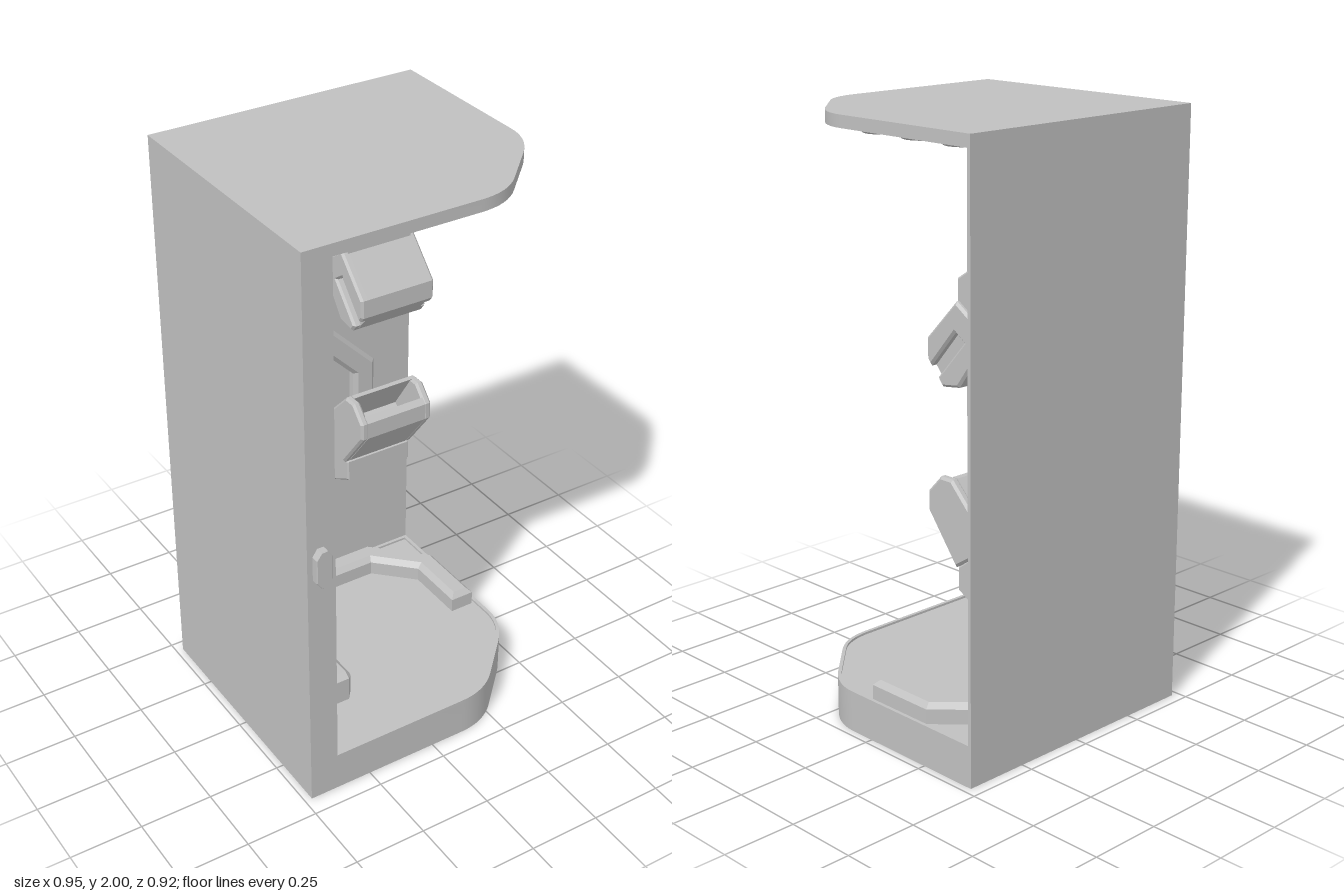
import * as THREE from 'three';
import { toCreasedNormals } from 'three/addons/utils/BufferGeometryUtils.js';

const V2 = (x, y) => new THREE.Vector2(x, y);
const shapeOf = (pts) => new THREE.Shape(pts.map((p) => V2(p[0], p[1])));

// surface between two matching 3D polylines
function loft(a, b) {
  const pos = [];
  for (let i = 0; i < a.length - 1; i++) {
    pos.push(...a[i], ...a[i + 1], ...b[i + 1], ...a[i], ...b[i + 1], ...b[i]);
  }
  const g = new THREE.BufferGeometry();
  g.setAttribute('position', new THREE.Float32BufferAttribute(pos, 3));
  g.computeVertexNormals();
  return g;
}
// upright wall over a plan line of [x, z] points
const wall = (plan, y0, y1) => loft(plan.map(([x, z]) => [x, y0, z]), plan.map(([x, z]) => [x, y1, z]));

function extrude(shape, depth, bevel) {
  const g = new THREE.ExtrudeGeometry(shape, {
    depth: depth - 2 * bevel, bevelEnabled: bevel > 0, bevelThickness: bevel,
    bevelSize: bevel, bevelOffset: -bevel, bevelSegments: 1, curveSegments: 8,
  });
  return g.translate(0, 0, bevel);
}
// side profile of [z, y] points, extruded from x0 to x1
const extrudeX = (prof, x0, x1, bevel = 0) =>
  extrude(shapeOf(prof.map(([z, y]) => [-z, y])), x1 - x0, bevel).rotateY(Math.PI / 2).translate(x0, 0, 0);
// plan outline of [x, z] points, extruded from y0 to y1
const extrudeY = (plan, y0, y1, bevel = 0, hole = null) => {
  const s = shapeOf(plan.map(([x, z]) => [x, -z]));
  if (hole) s.holes.push(shapeOf(hole.map(([x, z]) => [x, -z])));
  return extrude(s, y1 - y0, bevel).rotateX(-Math.PI / 2).translate(0, y0, 0);
};

// outline of a band of half width h around a bent centre line
function band(pts, h) {
  const p = pts.map((q) => V2(...q)), left = [], right = [];
  p.forEach((c, i) => {
    const d0 = i > 0 ? c.clone().sub(p[i - 1]).normalize() : null;
    const d1 = i < p.length - 1 ? p[i + 1].clone().sub(c).normalize() : null;
    const a = d0 || d1, b = d1 || d0;
    const t = a.clone().add(b).normalize();
    const k = h / t.dot(a);
    left.push([c.x - t.y * k, c.y + t.x * k]);
    right.unshift([c.x + t.y * k, c.y - t.x * k]);
  });
  return [...left, ...right];
}

// front edge with the rounded, cut corner, from right rear to left front
function frontEdge(d, left) {
  const R = 0.475 - d, F = 0.435 - d;
  const arc = (a, b, c) => new THREE.QuadraticBezierCurve(V2(...a), V2(...b), V2(...c))
    .getPoints(8).map((p) => [p.x, p.y]);
  return [
    ...arc([R, 0.09], [R, 0.175], [0.4 - d * 0.7, 0.25 - d * 0.7]),
    ...arc([0.28 - d * 0.7, 0.37 - d * 0.7], [0.215, F], [0.12, F]),
    [left, F],
  ];
}
// curved inner corner, from left wall to back wall
function innerCorner(d = 0) {
  const out = [], r = 0.3 - d;
  for (let i = 0; i <= 16; i++) {
    const a = (i / 16) * Math.PI / 2;
    out.push([-0.075 - r * Math.cos(a), -0.148 - r * Math.sin(a)]);
  }
  return out;
}
const floorPlan = (d) => [...frontEdge(d, -0.375 + d), ...innerCorner(d), [0.475 - d, -0.448 + d]];

export function createModel() {
  const root = new THREE.Group();
  const grey = new THREE.MeshStandardMaterial({ color: 0xc0c0c0, side: THREE.DoubleSide });
  grey.name = 'lightGrey';
  const add = (name, geo, parent = root) => {
    const m = new THREE.Mesh(toCreasedNormals(geo, 0.4), grey);
    m.name = name;
    parent.add(m);
    return m;
  };
  const group = (name) => {
    const g = new THREE.Group();
    g.name = name;
    root.add(g);
    return g;
  };

  // cabin shell, open underneath
  const shell = group('shell');
  const L = -0.475, R = 0.475, F = 0.435, B = -0.46;
  add('outerWalls', wall([[L, F], [L, B], [R, B], [R, -0.448]], 0, 1.97), shell);
  add('frontJamb', wall([[-0.375, F], [L, F]], 0, 1.97), shell);
  add('traySide', wall([[R, -0.448], ...frontEdge(0, -0.375)], 0, 0.14), shell);
  add('innerBackWall', wall([...innerCorner(), [R, -0.448]], 0.13, 1.96), shell);
  add('roof', extrudeY([[L, B], [R, B], ...frontEdge(0, L)], 1.96, 2), shell);
  add('floor', extrudeY(floorPlan(0), 0.128, 0.132), shell);
  add('floorRim', extrudeY(floorPlan(0), 0.132, 0.14, 0, floorPlan(0.012)), shell);

  // left inner wall with a recessed niche
  const z0 = -0.375, z1 = 0.02, y0 = 1.11, y1 = 1.46, r = 0.035;
  const nicheShape = new THREE.Shape();
  nicheShape.absarc(z1 - r, y0 + r, r, -Math.PI / 2, 0);
  nicheShape.absarc(z1 - r, y1 - r, r, 0, Math.PI / 2);
  nicheShape.absarc(z0 + r, y1 - r, r, Math.PI / 2, Math.PI);
  nicheShape.absarc(z0 + r, y0 + r, r, Math.PI, Math.PI * 1.5);
  nicheShape.closePath();
  const rim = nicheShape.getPoints(6);
  const side = shapeOf([[-F, 0.13], [0.148, 0.13], [0.148, 1.96], [-F, 1.96]]);
  side.holes.push(new THREE.Path(rim));
  add('innerLeftWall', new THREE.ShapeGeometry(side).rotateY(Math.PI / 2).translate(-0.375, 0, 0), shell);
  add('nicheSides', loft(rim.map((p) => [-0.445, p.y, -p.x]), rim.map((p) => [-0.375, p.y, -p.x])), shell);
  add('nicheBack', new THREE.ShapeGeometry(new THREE.Shape(rim)).rotateY(Math.PI / 2).translate(-0.445, 0, 0), shell);

  // raised panel below the niche
  add('wallPanel', extrudeX([[0.345, 0.865], [0.345, 1], [-0.06, 1], [-0.06, 0.865]], -0.39, -0.355, 0.008));

  // button on the front jamb
  const bx = 0.028, by = 0.068, c = 0.017;
  const button = [[-bx + c, -by], [bx - c, -by], [bx, -by + 0.025], [bx, by - 0.025],
    [bx - c, by], [-bx + c, by], [-bx, by - 0.025], [-bx, -by + 0.025]];
  add('button', extrude(shapeOf(button), 0.035, 0.003).translate(-0.428, 0.932, 0.425));

  // ceiling lights
  const lights = group('ceilingLights');
  const ring = [[0, 0.004], [0.032, 0.004], [0.036, -0.006], [0.044, -0.006], [0.048, -0.016], [0.06, -0.016], [0.077, 0.001]];
  const spots = [[0.356, 0.04], [0.356, -0.135], [0.356, -0.31], [0.12, 0.33], [-0.075, 0.335], [-0.26, 0.335]];
  spots.forEach(([x, z]) => {
    add('ceilingLight', new THREE.LatheGeometry(ring.map((p) => V2(...p)), 28).translate(x, 1.959, z), lights);
  });

  // duct along the ceiling and down the back wall
  const duct = group('duct');
  add('ceilingDuct', extrudeY(band([[-0.38, 0.193], [0.052, 0.193], [0.052, -0.45]], 0.042), 1.905, 1.975, 0.014), duct);
  const down = band([[0.052, 1.95], [0.052, 1.185], [0.27, 0.965], [0.27, 0.82]], 0.042);
  add('wallDuct', extrude(shapeOf(down), 0.05, 0.014).translate(0, 0, -0.46), duct);

  // arm rail beside the left wall and foot rail on the floor
  add('armRail', extrudeX([[0.41, 0.335], [0.41, 0.42], [0.39, 0.435], [0.12, 0.435], [0.1, 0.425], [-0.05, 0.275],
    [-0.065, 0.24], [-0.065, 0.13], [0.05, 0.13], [0.05, 0.235], [0.13, 0.32]], -0.39, -0.297, 0.018));
  add('footRail', extrudeY(band([[0.012, -0.37], [0.26, -0.37], [0.41, -0.22], [0.41, 0.015]], 0.043), 0.11, 0.2, 0.018));

  // upper head: wedge mount, core and slotted cheeks
  const upper = group('upperHead');
  add('upperMount', extrudeX([[-0.45, 1.645], [-0.32, 1.56], [-0.32, 1.48], [-0.45, 1.38]], 0.14, 0.395, 0.006), upper);
  add('headCore', extrudeX([[-0.33, 1.495], [-0.205, 1.365], [-0.205, 1.3], [-0.27, 1.225], [-0.34, 1.235],
    [-0.45, 1.385], [-0.45, 1.415]], 0.15, 0.385), upper);
  const cheek = [[-0.33, 1.495], [-0.205, 1.365], [-0.205, 1.3], [-0.222, 1.28], [-0.325, 1.4], [-0.362, 1.375],
    [-0.25, 1.25], [-0.27, 1.225], [-0.34, 1.235], [-0.45, 1.385], [-0.45, 1.415]];
  add('headCheekRight', extrudeX(cheek, 0.125, 0.165, 0.008), upper);
  add('headCheekLeft', extrudeX(cheek, 0.37, 0.41, 0.008), upper);

  // lower bin: wedge mount, hollow middle and closed cheeks
  const bin = group('lowerBin');
  add('binMount', extrudeX([[-0.45, 0.52], [-0.32, 0.59], [-0.32, 0.665], [-0.45, 0.76]], 0.14, 0.395, 0.006), bin);
  add('binMiddle', extrudeX([[-0.205, 0.825], [-0.205, 0.885], [-0.225, 0.902], [-0.32, 0.75], [-0.385, 0.8],
    [-0.29, 0.943], [-0.31, 0.943], [-0.45, 0.8], [-0.45, 0.75], [-0.325, 0.668]], 0.15, 0.385), bin);
  const binSide = [[-0.205, 0.825], [-0.205, 0.885], [-0.26, 0.943], [-0.31, 0.943], [-0.45, 0.8],
    [-0.45, 0.75], [-0.325, 0.668]];
  add('binCheekRight', extrudeX(binSide, 0.125, 0.155, 0.008), bin);
  add('binCheekLeft', extrudeX(binSide, 0.38, 0.41, 0.008), bin);

  // small dispenser with a nozzle
  const dispenser = group('dispenser');
  add('dispenserBody', extrudeX([[-0.46, 0.71], [-0.365, 0.71], [-0.335, 0.695], [-0.235, 0.6], [-0.225, 0.575],
    [-0.225, 0.51], [-0.245, 0.49], [-0.285, 0.495], [-0.46, 0.6]], -0.145, -0.005, 0.014), dispenser);
  add('nozzle', new THREE.CylinderGeometry(0.024, 0.02, 0.05, 8).translate(-0.075, 0.505, -0.25), dispenser);

  return root;
}
